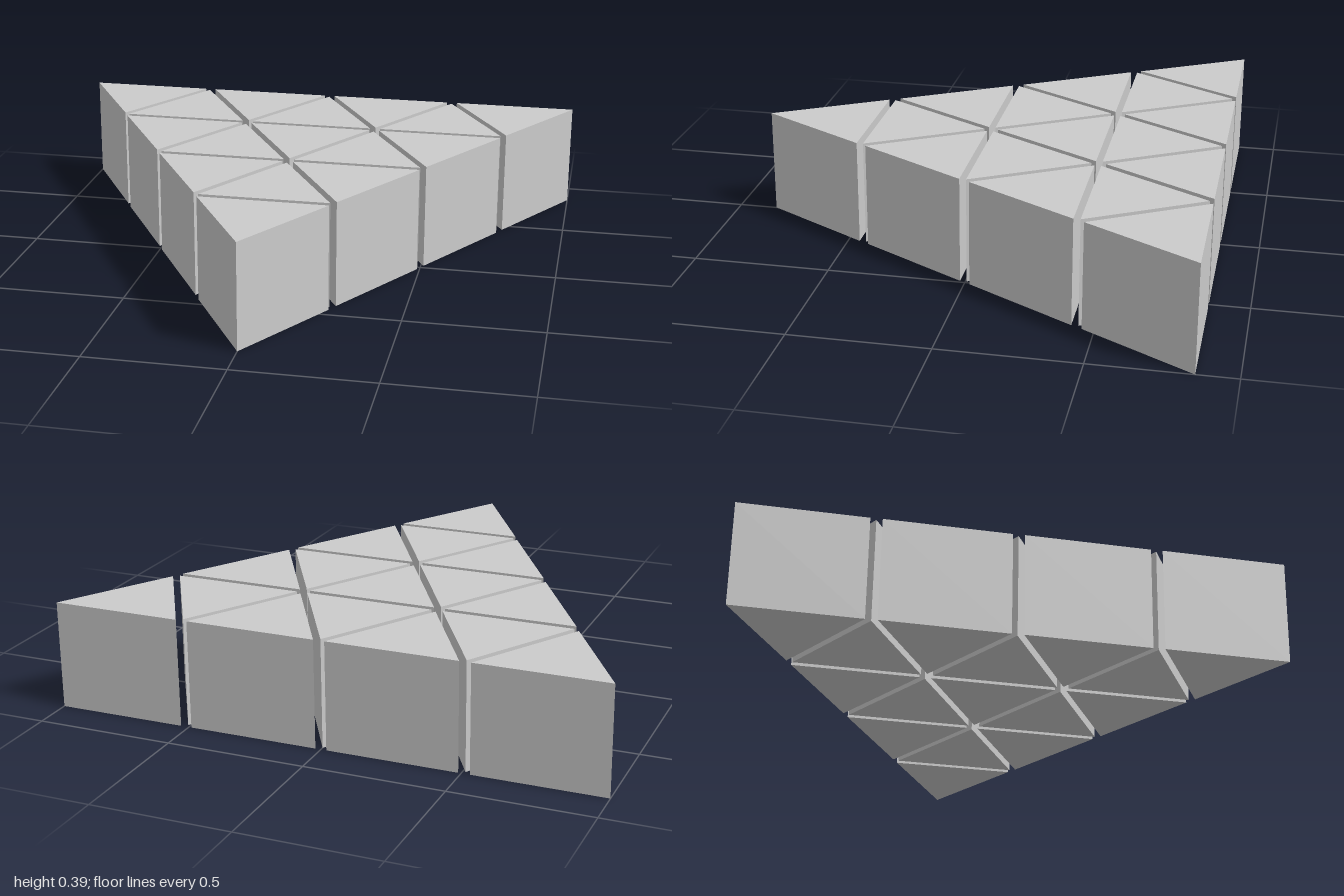
import * as THREE from 'three';

const SIDE = 0.47;      // prism width
const DEPTH = 0.4;      // prism length from base to tip
const HEIGHT = 0.39;
const STEP_X = 0.51;    // spacing between neighbours in a row
const STEP_Z = 0.438;   // spacing between rows
const BACK = -0.857;    // base line of the rear row
const GAP = 0.024;      // slot between rows
const ROWS = 4;

// Triangular prism with its base edge on z = 0 and its tip towards dir * z
function prismGeometry(dir) {
  const shape = new THREE.Shape();
  shape.moveTo(-SIDE / 2, 0);
  shape.lineTo(SIDE / 2, 0);
  shape.lineTo(0, dir * DEPTH);
  shape.closePath();
  const geometry = new THREE.ExtrudeGeometry(shape, { depth: HEIGHT, bevelEnabled: false });
  geometry.rotateX(Math.PI / 2);
  geometry.translate(0, HEIGHT, 0);
  return geometry;
}

export function createModel() {
  const model = new THREE.Group();
  model.name = 'triangularBlockArray';
  const material = new THREE.MeshStandardMaterial({ color: 0xcccccc, flatShading: true });
  const forward = prismGeometry(1);
  const backward = prismGeometry(-1);

  function addRow(name, geometry, count, z) {
    for (let i = 0; i < count; i++) {
      const mesh = new THREE.Mesh(geometry, material);
      mesh.name = name + (i + 1);
      mesh.position.set((i - (count - 1) / 2) * STEP_X, 0, z);
      model.add(mesh);
    }
  }

  // Each row alternates prisms pointing forward and, between them, backward
  for (let r = 0; r < ROWS; r++) {
    const z = BACK + r * STEP_Z;
    addRow(`row${r + 1}ForwardPrism`, forward, ROWS - r, z);
    addRow(`row${r + 1}BackwardPrism`, backward, ROWS - r - 1, z + STEP_Z - GAP);
  }
  return model;
}
